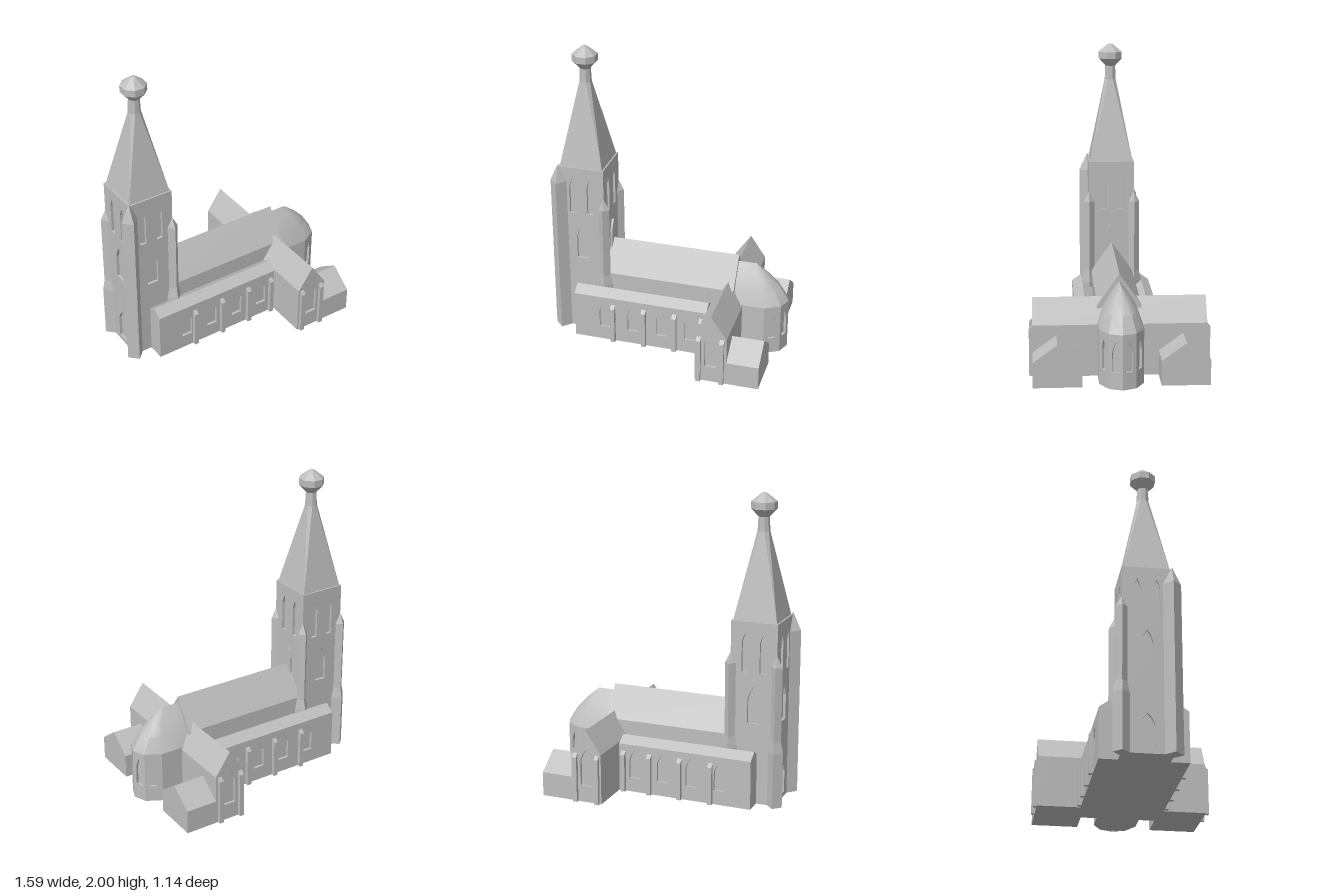
import * as THREE from 'three';
import { toCreasedNormals } from 'three/addons/utils/BufferGeometryUtils.js';

const stone = new THREE.MeshStandardMaterial({ color: 0xbebebe });
stone.name = 'grey stone';
const DEPTH = 0.018; // depth of window recesses

function flat(geo) {
  const g = geo.index ? geo.toNonIndexed() : geo;
  g.computeVertexNormals();
  return g;
}

function add(parent, name, geo, x = 0, y = 0, z = 0) {
  const mesh = new THREE.Mesh(geo, stone);
  mesh.name = name;
  mesh.position.set(x, y, z);
  parent.add(mesh);
  return mesh;
}

function box(parent, name, x0, x1, y0, y1, z0, z1) {
  return add(parent, name, new THREE.BoxGeometry(x1 - x0, y1 - y0, z1 - z0),
    (x0 + x1) / 2, (y0 + y1) / 2, (z0 + z1) / 2);
}

const shapeOf = (pts) => new THREE.Shape(pts.map(([a, b]) => new THREE.Vector2(a, b)));
const extrude = (shape, depth) => new THREE.ExtrudeGeometry(shape, { depth, bevelEnabled: false });

// Section given as [z, y] points, run along x
function prismX(parent, name, pts, x0, x1) {
  const geo = extrude(shapeOf(pts.map(([z, y]) => [-z, y])), x1 - x0);
  return add(parent, name, geo.rotateY(Math.PI / 2), x0);
}

// Pointed-arch outline
function lancet(cx, y0, w, shoulder, top) {
  const h = w / 2, rise = top - shoulder;
  return [[cx - h, y0], [cx + h, y0], [cx + h, shoulder], [cx + h * 0.6, shoulder + rise * 0.55],
    [cx, top], [cx - h * 0.6, shoulder + rise * 0.55], [cx - h, shoulder]];
}

const rect = (w, h) => [[-w / 2, 0], [w / 2, 0], [w / 2, h], [-w / 2, h]];

// Wall sheet with window openings; its outer face lies on x, z and looks along angle
function wall(parent, name, outline, openings, x, z, angle) {
  const shape = shapeOf(outline);
  for (const o of openings) shape.holes.push(new THREE.Path(o.map(([a, b]) => new THREE.Vector2(a, b))));
  const mesh = add(parent, name, extrude(shape, DEPTH).translate(0, 0, -DEPTH), x, 0, z);
  mesh.rotation.y = angle;
}

// Skin through rings of [x, y, z] points
function loft(rings, closed) {
  const n = rings[0].length, idx = [];
  for (let j = 0; j < rings.length - 1; j++) {
    for (let i = 0; i < (closed ? n : n - 1); i++) {
      const a = j * n + i, b = j * n + (i + 1) % n;
      idx.push(a, a + n, b + n, a, b + n, b);
    }
  }
  const geo = new THREE.BufferGeometry();
  geo.setAttribute('position', new THREE.Float32BufferAttribute(rings.flat(2), 3));
  geo.setIndex(idx);
  return geo;
}

// Octagon of half width a; cut is the half length of the sides facing the axes
function octagon(a, y, cut = a * 0.414) {
  return [[a, -cut], [a, cut], [cut, a], [-cut, a], [-a, cut], [-a, -cut], [-cut, -a], [cut, -a]]
    .map(([x, z]) => [x, y, z]);
}

function buildTower(root) {
  const tower = new THREE.Group();
  tower.name = 'tower';
  tower.position.x = -0.587;
  root.add(tower);
  const R = 0.155, H = 1.205, c = R - DEPTH;
  box(tower, 'towerCore', -c, c, 0, H, -c, c);
  const twins = [-0.06, 0.06].map((x) => lancet(x, 0.875, 0.042, 1.07, 1.125));
  const middle = lancet(0, 0.54, 0.078, 0.7, 0.785);
  const door = lancet(0, 0.03, 0.09, 0.18, 0.25);
  wall(tower, 'towerFrontWall', rect(2 * R, H), [...twins, middle], 0, R, 0);
  wall(tower, 'towerBackWall', rect(2 * R, H), [...twins, middle], 0, -R, Math.PI);
  wall(tower, 'towerEastWall', rect(2 * c, H), twins, R, 0, Math.PI / 2);
  wall(tower, 'towerWestWall', rect(2 * c, H), [...twins, middle, door], -R, 0, -Math.PI / 2);
  add(tower, 'towerEastBlindArch', extrude(shapeOf(middle), 0.014), R).rotation.y = Math.PI / 2;

  // Spire turning from square to octagon, with a knob on top
  add(tower, 'spire', flat(loft([octagon(0.145, H, 0.145), octagon(0.037, 1.76), octagon(0.033, 1.85)], true)));
  add(tower, 'finial', flat(loft([octagon(0.033, 1.85), octagon(0.077, 1.9), octagon(0.077, 1.945),
    octagon(0.014, 1.998), octagon(0, 2)], true)));

  // Corner piers set diagonally; one is a tall stair turret
  const part = (name, rTop, rBottom, y0, y1, x, z) => add(tower, name,
    flat(new THREE.CylinderGeometry(rTop, rBottom, y1 - y0, 4)), x, (y0 + y1) / 2, z);
  for (const sx of [-1, 1]) for (const sz of [-1, 1]) {
    const x = sx * R, z = sz * R;
    if (sx < 0 && sz > 0) {
      part('stairTurret', 0.056, 0.056, 0, 1.1, x, z);
      part('stairTurretRoof', 0, 0.056, 1.1, 1.22, x, z);
    } else {
      part('pierBase', 0.05, 0.05, 0, 0.37, x, z);
      part('pierSlope', 0.036, 0.05, 0.37, 0.44, x, z);
      part('pierShaft', 0.036, 0.036, 0.44, 0.93, x, z);
      part('pierCap', 0, 0.036, 0.93, 1.0, x, z);
    }
  }
}

function buildApse(root) {
  const apse = new THREE.Group();
  apse.name = 'apse';
  root.add(apse);
  const plan = [[0.45, -0.14], [0.66, -0.14], [0.76, -0.085], [0.795, 0], [0.76, 0.085], [0.66, 0.14], [0.45, 0.14]];
  const cx = 0.57, eave = 0.35;
  box(apse, 'choirWalls', 0.45, 0.66, 0, eave, -0.14, 0.14);
  const inner = plan.map(([x, z]) => [cx + (x - cx) * 0.9, -z * 0.9]);
  add(apse, 'apseCore', extrude(shapeOf(inner), eave).rotateX(-Math.PI / 2));
  for (let i = 1; i < 5; i++) {
    const [x0, z0] = plan[i], [x1, z1] = plan[i + 1];
    const w = Math.hypot(x1 - x0, z1 - z0);
    wall(apse, 'apseWall', rect(w, eave), [lancet(0, 0.11, 0.046, 0.235, 0.3)],
      (x0 + x1) / 2, (z0 + z1) / 2, Math.atan2(z1 - z0, x0 - x1));
  }
  // Curved roof drawn up to a short ridge
  const ring = (t, y) => plan.map(([x, z]) => [x < 0.5 ? x : cx + (x - cx) * t, y, z * t]);
  const roof = loft([ring(1, eave), ring(0.72, 0.45), ring(0.4, 0.526), ring(0, 0.6)], false);
  add(apse, 'apseRoof', toCreasedNormals(roof, 0.6));
}

export function createModel() {
  const root = new THREE.Group();
  root.name = 'church';
  buildTower(root);
  buildApse(root);

  // Nave with steep roof
  prismX(root, 'nave', [[-0.14, 0], [0.14, 0], [0.14, 0.443], [0, 0.645], [-0.14, 0.443]], -0.5, 0.45);

  // Transept
  const gable = [[0.3, 0], [0.51, 0], [0.51, 0.335], [0.405, 0.49], [0.3, 0.335]];
  const tz = 0.55;
  add(root, 'transept', extrude(shapeOf(gable), 2 * (tz - DEPTH)), 0, 0, -(tz - DEPTH));
  const gableEnd = gable.map(([x, y]) => [x - 0.405, y]);

  for (const s of [1, -1]) {
    const face = s > 0 ? 0 : Math.PI;
    wall(root, 'transeptEndWall', gableEnd, [lancet(0, 0.11, 0.08, 0.285, 0.355)], 0.405, s * tz, face);

    // Side aisle with its own little ridged roof
    const x0 = -0.617, x1 = 0.3, mid = (x0 + x1) / 2, az = 0.27;
    const sec = (pts) => pts.map(([z, y]) => [s * z, y]);
    prismX(root, 'aisleCore', sec([[0.13, 0], [az - DEPTH, 0], [az - DEPTH, 0.325], [0.13, 0.325]]), x0, x1);
    prismX(root, 'aisleRoof', sec([[0.13, 0.325], [az, 0.325], [0.205, 0.37]]), x0, x1);
    const windows = [-0.405, -0.208, -0.008, 0.19].map((x) => lancet(s * (x - mid), 0.095, 0.074, 0.22, 0.283));
    wall(root, 'aisleWall', rect(x1 - x0, 0.325), windows, mid, s * az, face);

    // Buttresses with sloping tops
    for (const x of [-0.345, -0.13, 0.083, 0.268]) {
      prismX(root, 'aisleButtress', sec([[0.265, 0], [0.295, 0], [0.295, 0.255], [0.265, 0.283]]), x - 0.015, x + 0.015);
    }
    for (const x of [0.327, 0.48]) {
      prismX(root, 'transeptButtress', sec([[0.545, 0], [0.572, 0], [0.572, 0.305], [0.545, 0.335]]), x - 0.015, x + 0.015);
    }

    // Low gabled annex behind each transept arm
    prismX(root, 'annex', sec([[0.245, 0], [tz, 0], [tz, 0.16], [0.398, 0.272], [0.245, 0.16]]), 0.5, 0.722);
  }
  return root;
}
